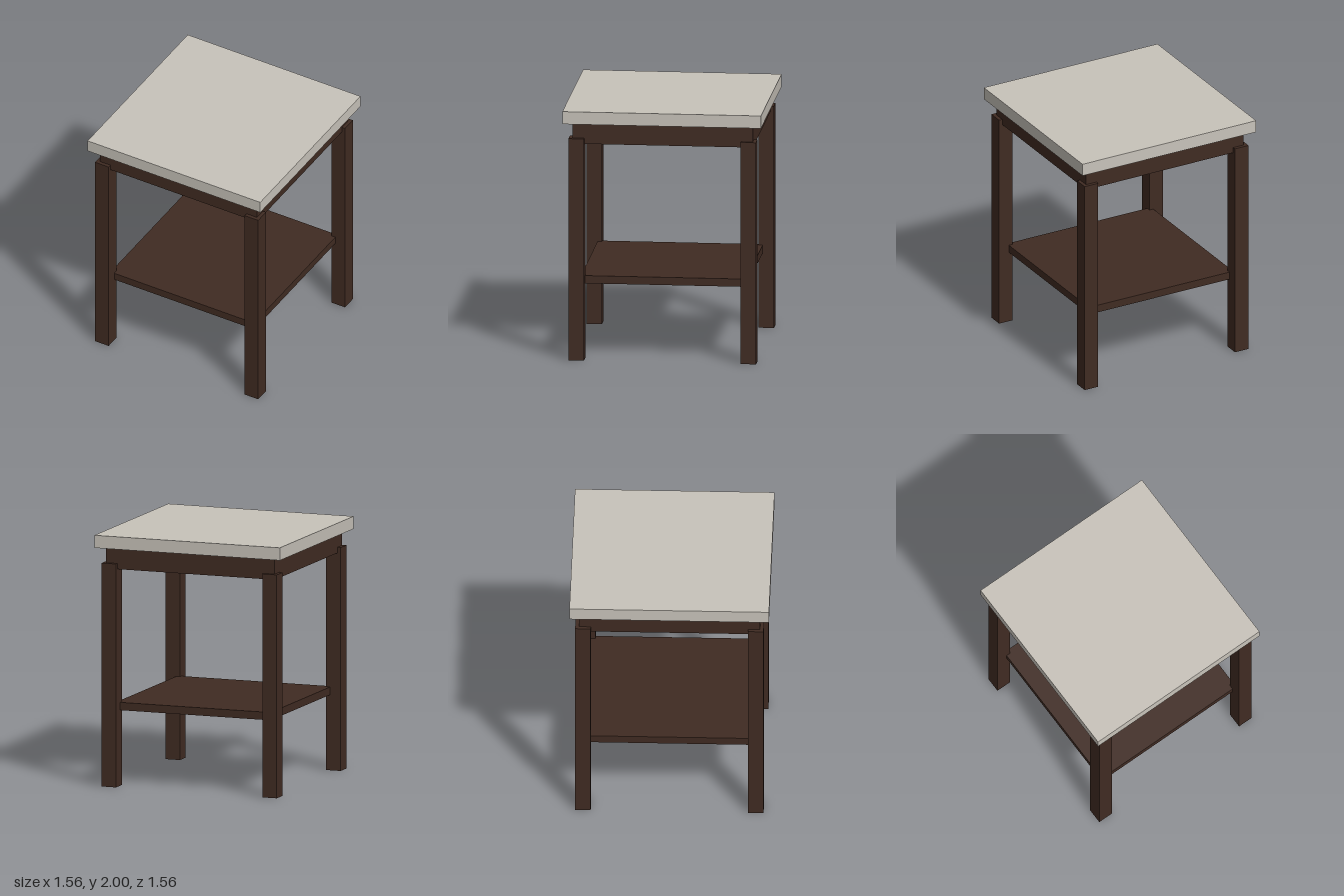
import * as THREE from 'three';

export function createModel() {
  const group = new THREE.Group();
  group.name = 'sideTable';

  const stone = new THREE.MeshStandardMaterial({ color: 0xc8c3ba });
  stone.name = 'pale stone';
  const wood = new THREE.MeshStandardMaterial({ color: 0x402b22 });
  wood.name = 'dark wood';

  // Square slab of a given width, resting between two heights
  function slab(name, width, bottom, top, material, x = 0, z = 0) {
    const mesh = new THREE.Mesh(new THREE.BoxGeometry(width, top - bottom, width), material);
    mesh.name = name;
    mesh.position.set(x, (bottom + top) / 2, z);
    group.add(mesh);
  }

  slab('tableTop', 1.563, 1.9, 2, stone);
  slab('apron', 1.42, 1.73, 1.9, wood);
  slab('shelf', 1.3, 0.6, 0.662, wood);

  // Four legs, standing slightly proud of the apron
  const legs = [['frontLeft', 1, 1], ['frontRight', -1, 1], ['backLeft', 1, -1], ['backRight', -1, -1]];
  for (const [corner, sx, sz] of legs) {
    slab(corner + 'Leg', 0.122, 0, 1.775, wood, sx * 0.677, sz * 0.677);
  }

  return group;
}
